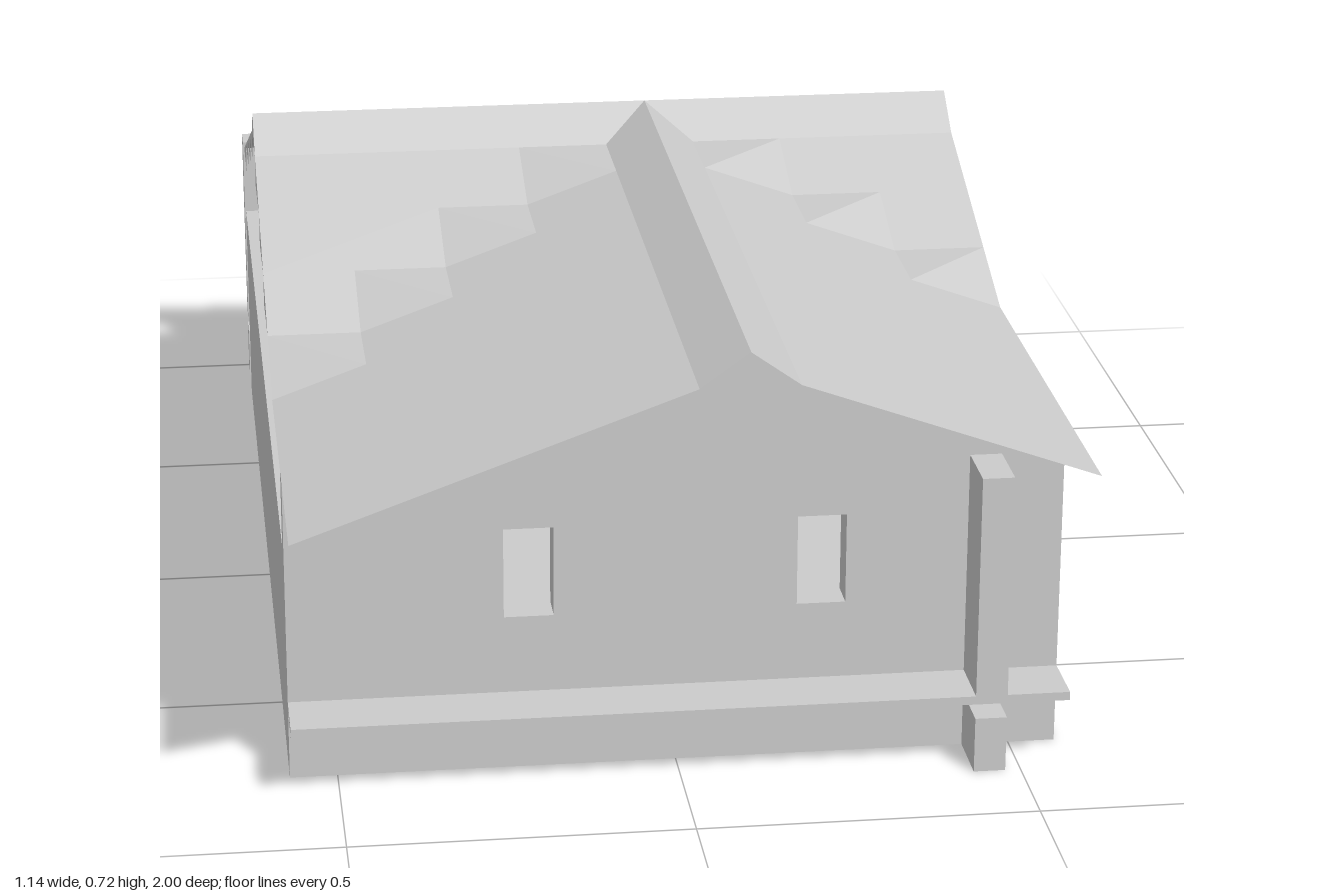
import * as THREE from 'three';

const mat = new THREE.MeshStandardMaterial({ color: 0xcccccc, flatShading: true, side: THREE.DoubleSide });
const C = 1.14 / 8;                 // roof grid cell
const W = 0.57;                     // half width
const STEP = 0.0515;                // roof rise per cell
const EAVE = 0.465, SHOULDER = EAVE + 4 * STEP, RIDGE = 0.722;

export function createModel() {
  const model = new THREE.Group();

  const add = (name, geometry) => {
    const mesh = new THREE.Mesh(geometry, mat);
    mesh.name = name;
    model.add(mesh);
    return mesh;
  };
  const box = (name, x0, x1, y0, y1, z0, z1) => {
    const m = add(name, new THREE.BoxGeometry(x1 - x0, y1 - y0, z1 - z0));
    m.position.set((x0 + x1) / 2, (y0 + y1) / 2, (z0 + z1) / 2);
  };
  // Upright wall from an outline in x and y, with rectangular openings
  const wall = (name, outline, openings, z, depth) => {
    const shape = new THREE.Shape(outline.map(p => new THREE.Vector2(...p)));
    for (const [x0, x1, y0, y1] of openings) {
      shape.holes.push(new THREE.Path([[x0, y0], [x0, y1], [x1, y1], [x1, y0]].map(p => new THREE.Vector2(...p))));
    }
    add(name, new THREE.ExtrudeGeometry(shape, { depth, bevelEnabled: false })).position.z = z;
  };
  // Thin sheet made of triangles and quads
  const sheet = (name, faces) => {
    const pos = [];
    for (const f of faces) {
      for (let i = 1; i < f.length - 1; i++) pos.push(...f[0], ...f[i], ...f[i + 1]);
    }
    const g = new THREE.BufferGeometry();
    g.setAttribute('position', new THREE.Float32BufferAttribute(pos, 3));
    g.computeVertexNormals();
    add(name, g);
  };

  // Foundations
  box('frontFoundation', -W, W, 0, 0.085, 0.715, 0.765);
  box('backFoundation', -W, W, 0, 0.085, -1, -0.947);
  box('rightFrontFoundation', 0.43, 0.477, 0, 0.085, 0.145, 0.86);
  box('rightBackFoundation', 0.43, 0.477, 0, 0.108, -0.86, 0.145);
  box('crossFoundation', 0.43, W, 0, 0.108, 0.145, 0.192);

  // Floor slab with a hatch opening
  const floor = new THREE.Shape([[-W, -0.86], [W, -0.86], [W, 0.86], [-W, 0.86]].map(p => new THREE.Vector2(...p)));
  floor.holes.push(new THREE.Path([[-3 * C, 3 * C], [-3 * C, 4 * C], [-2 * C, 4 * C], [-2 * C, 3 * C]].map(p => new THREE.Vector2(...p))));
  const slab = add('floor', new THREE.ExtrudeGeometry(floor, { depth: 0.013, bevelEnabled: false }));
  slab.rotation.x = Math.PI / 2;
  slab.position.y = 0.121;

  // Walls
  wall('frontGableWall',
    [[-W, 0.12], [W, 0.12], [W, EAVE + STEP], [C, SHOULDER], [C / 2, RIDGE], [0, SHOULDER], [-W, EAVE]],
    [[-0.253, -0.18, 0.24, 0.378], [0.178, 0.25, 0.24, 0.378]], 0.715, 0.05);
  wall('backWall',
    [[-W, 0.11], [W, 0.11], [W, 0.463], [-2 * C, 0.463], [-2 * C, 0.447], [-W, 0.447]],
    [[-0.1, -0.03, 0.24, 0.378]], -1, 0.053);
  box('leftWall', -W, -0.523, 0, 0.345, -0.86, 0.765);
  box('rightFrontWall', 0.43, 0.477, 0.12, 0.463, 0.29, 0.86);
  box('rightBackWall', 0.43, 0.477, 0.12, 0.345, -0.86, 0.145);
  box('doorPost', 0.43, W, 0.12, 0.463, 0.145, 0.192);

  // Ridge caps of the two crossing roofs
  const zr = -1.5 * C;
  const cap = (z, x, y) => [x, y, z];
  sheet('frontRidgeCap', [
    [cap(1, 0, SHOULDER), cap(1, C / 2, RIDGE), cap(-C, C / 2, RIDGE), cap(-C, 0, SHOULDER)],
    [cap(1, C / 2, RIDGE), cap(1, C, SHOULDER), cap(-C, C, SHOULDER), cap(-C, C / 2, RIDGE)],
    [cap(1, 0, SHOULDER), cap(1, C, SHOULDER), cap(1, C / 2, RIDGE)],
    [cap(-C, C / 2, RIDGE), cap(zr, C / 2, RIDGE), cap(-C, 0, SHOULDER)],
    [cap(-C, C / 2, RIDGE), cap(-C, C, SHOULDER), cap(zr, C / 2, RIDGE)],
  ]);
  sheet('backRidgeCap', [
    [[-W, SHOULDER, -C], [W, SHOULDER, -C], [W, RIDGE, zr], [-W, RIDGE, zr]],
    [[W, SHOULDER, -2 * C], [-W, SHOULDER, -2 * C], [-W, RIDGE, zr], [W, RIDGE, zr]],
    ...[-W, W].map(x => [[x, SHOULDER, -C], [x, SHOULDER, -2 * C], [x, RIDGE, zr]]),
  ]);

  // Stepped roof cells: back slope, both sides of the front gable, and valleys
  const back = [], front = [], side = [], valley = [];
  for (let i = 0; i < 4; i++) {
    const hi = SHOULDER - i * STEP, lo = hi - STEP;
    const zb = -(2 + i) * C, zf = (i - 1) * C;

    back.push([[W, hi, zb], [W, lo, zb - C], [-W, lo, zb - C], [-W, hi, zb]]);
    for (const x of [-W, W]) back.push([[x, hi, zb], [x, lo, zb], [x, lo, zb - C]]);

    // s = -1 is the model's right half, s = 1 its left half
    for (const s of [-1, 1]) {
      const edge = s < 0 ? 0 : C;
      const xi = edge + s * i * C, xo = xi + s * C;
      if (Math.abs(xo) > W + 0.01) continue;
      side.push([[xi, hi, 1], [xo, lo, 1], [xo, lo, zf + C], [xi, hi, zf + C]]);
      side.push([[xi, hi, zf + C], [xo, lo, zf + C], [xi, lo, zf + C]]);
      // Valley cell: three corners high, the outer one low
      valley.push([[xi, hi, zf], [xo, hi, zf], [xi, hi, zf + C]]);
      valley.push([[xo, hi, zf], [xo, lo, zf + C], [xi, hi, zf + C]]);
      if (Math.abs(xo) < W - 0.01) {
        const e = s * W;
        front.push([[xo, hi, zf], [xo, lo, zf + C], [e, lo, zf + C], [e, hi, zf]]);
        front.push([[e, hi, zf], [e, lo, zf + C], [e, lo, zf]]);
      }
    }
  }
  sheet('backRoofRearSlope', back);
  sheet('backRoofFrontSlope', front);
  sheet('frontRoofSlopes', side);
  sheet('roofValleys', valley);

  return model;
}
